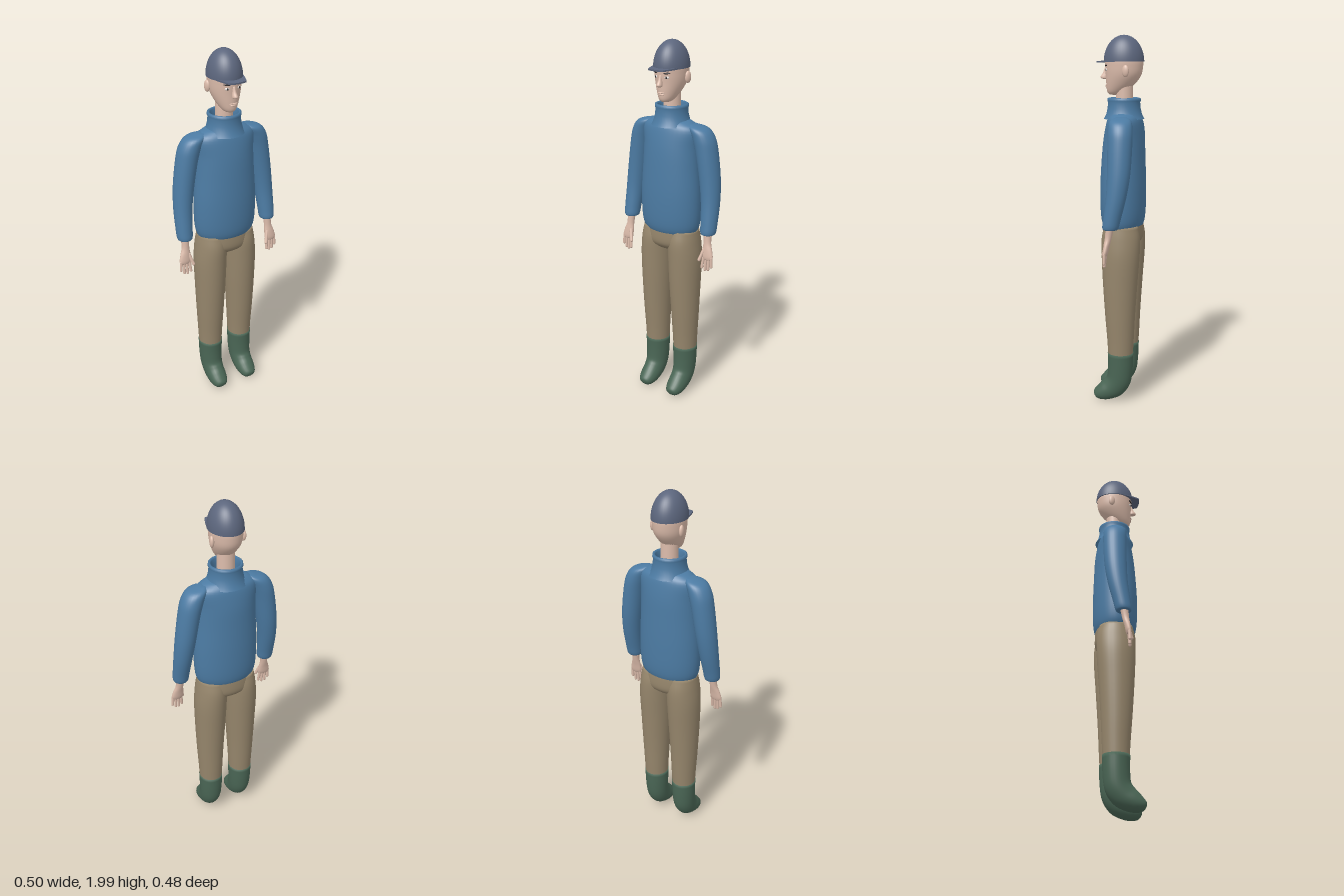
import * as THREE from 'three';

const mat = (name, color, side = THREE.FrontSide) => {
  const m = new THREE.MeshStandardMaterial({ color, side });
  m.name = name;
  return m;
};

// Smooth skin over elliptical rings listed top to bottom: [x, y, z, radiusX, radiusZ, tilt]
function loft(stations, sides = 28, steps = 5) {
  const curve = (k) => new THREE.CatmullRomCurve3(
    stations.map((s) => new THREE.Vector3(s[k], s[k + 1], s[k + 2] || 0)), false, 'catmullrom', 0.5);
  const centres = curve(0), sizes = curve(3);
  const n = (stations.length - 1) * steps;
  const pos = [], idx = [];
  for (let i = 0; i <= n; i++) {
    const c = centres.getPoint(i / n), r = sizes.getPoint(i / n);
    const rx = Math.max(r.x, 0.001), rz = Math.max(r.y, 0.001);
    for (let j = 0; j < sides; j++) {
      const a = (j / sides) * Math.PI * 2, v = rz * Math.sin(a);
      pos.push(c.x + rx * Math.cos(a), c.y + v * Math.sin(r.z), c.z + v * Math.cos(r.z));
    }
  }
  for (let i = 0; i < n; i++) {
    for (let j = 0; j < sides; j++) {
      const a = i * sides + j, b = i * sides + (j + 1) % sides;
      idx.push(a, b, a + sides, b, b + sides, a + sides);
    }
  }
  // end caps
  const top = pos.length / 3, bottom = top + 1, last = n * sides;
  const c0 = centres.getPoint(0), c1 = centres.getPoint(1);
  pos.push(c0.x, c0.y, c0.z, c1.x, c1.y, c1.z);
  for (let j = 0; j < sides; j++) {
    const k = (j + 1) % sides;
    idx.push(top, k, j, bottom, last + j, last + k);
  }
  const g = new THREE.BufferGeometry();
  g.setAttribute('position', new THREE.Float32BufferAttribute(pos, 3));
  g.setIndex(idx);
  g.computeVertexNormals();
  return g;
}

export function createModel() {
  const root = new THREE.Group();
  root.name = 'standingPerson';
  const body = new THREE.Group();
  body.name = 'body';
  body.rotation.y = THREE.MathUtils.degToRad(43.5); // stands turned toward its left
  root.add(body);

  const knit = mat('blueKnit', 0x4c7ba3, THREE.DoubleSide);
  const khaki = mat('khakiCloth', 0x96866c);
  const rubber = mat('greenRubber', 0x4a6655);
  const felt = mat('slateCap', 0x5c667d);
  const skin = mat('skin', 0xdcbcab);
  const dark = mat('darkBrown', 0x2f2a2b);
  const white = mat('eyeWhite', 0xe8e4e0);

  const add = (name, geo, material, x = 0, y = 0, z = 0) => {
    const m = new THREE.Mesh(geo, material);
    m.name = name;
    m.position.set(x, y, z);
    body.add(m);
    return m;
  };
  const ball = (name, material, x, y, z, rx, ry, rz) => {
    const m = add(name, new THREE.SphereGeometry(1, 24, 16), material, x, y, z);
    m.scale.set(rx, ry, rz);
    return m;
  };
  const limb = (name, material, a, b, r) => {
    const p = new THREE.Vector3(...a), q = new THREE.Vector3(...b), d = q.clone().sub(p);
    const m = add(name, new THREE.CapsuleGeometry(r, d.length(), 4, 10), material);
    m.position.copy(p).add(q).multiplyScalar(0.5);
    m.quaternion.setFromUnitVectors(new THREE.Vector3(0, 1, 0), d.normalize());
  };

  // Sweater body
  add('sweaterBody', loft([
    [0, 1.60, -0.015, 0.07, 0.06], [0, 1.585, -0.015, 0.125, 0.075], [0, 1.55, -0.015, 0.17, 0.092],
    [0, 1.46, -0.013, 0.165, 0.108], [0, 1.35, -0.01, 0.168, 0.116], [0, 1.2, -0.008, 0.177, 0.122],
    [0, 1.07, -0.008, 0.176, 0.12], [0, 1.0, -0.008, 0.163, 0.109], [0, 0.972, -0.008, 0.13, 0.085],
    [0, 0.968, -0.008, 0.05, 0.03],
  ], 40), knit);

  // Roll collar, open at the top
  const collar = [[0.108, 1.565], [0.095, 1.59], [0.088, 1.62], [0.085, 1.652], [0.089, 1.66],
    [0.088, 1.672], [0.08, 1.676], [0.073, 1.668], [0.07, 1.64], [0.068, 1.59]];
  add('collar', new THREE.LatheGeometry(collar.map((p) => new THREE.Vector2(...p)), 36), knit, 0, 0, -0.012);

  // Neck and head
  add('neck', new THREE.CylinderGeometry(0.045, 0.047, 0.16, 24), skin, 0, 1.66, -0.014);
  add('head', loft([
    [0, 1.93, -0.012, 0.06, 0.07], [0, 1.88, -0.012, 0.081, 0.099], [0, 1.835, -0.012, 0.082, 0.1],
    [0, 1.79, -0.008, 0.076, 0.093], [0, 1.745, 0.008, 0.06, 0.075], [0, 1.71, 0.028, 0.041, 0.051],
    [0, 1.694, 0.036, 0.025, 0.032], [0, 1.69, 0.038, 0.008, 0.01],
  ], 36), skin);
  add('nose', loft([
    [0, 1.832, 0.08, 0.007, 0.012], [0, 1.805, 0.088, 0.01, 0.014], [0, 1.785, 0.095, 0.014, 0.02],
    [0, 1.776, 0.093, 0.013, 0.017], [0, 1.772, 0.088, 0.005, 0.008],
  ], 16), skin);
  ball('mouth', skin, 0, 1.742, 0.082, 0.024, 0.004, 0.006);
  ball('lowerLip', skin, 0, 1.733, 0.081, 0.018, 0.005, 0.006);

  // Cap dome, flat underside and brim
  const dome = add('capDome', new THREE.SphereGeometry(1, 40, 20, 0, Math.PI * 2, 0, Math.PI / 2), felt, 0, 1.862, -0.011);
  dome.scale.set(0.089, 0.138, 0.107);
  const under = add('capUnderside', new THREE.CircleGeometry(1, 40), felt, 0, 1.862, -0.011);
  under.rotation.x = Math.PI / 2;
  under.scale.set(0.089, 0.107, 1);
  const brim = new THREE.Shape();
  brim.moveTo(-0.082, -0.02);
  brim.quadraticCurveTo(-0.075, -0.06, -0.047, -0.126);
  brim.quadraticCurveTo(0, -0.142, 0.047, -0.126);
  brim.quadraticCurveTo(0.075, -0.06, 0.082, -0.02);
  brim.quadraticCurveTo(0, -0.1, -0.082, -0.02);
  const brimMesh = add('capBrim', new THREE.ExtrudeGeometry(brim, { depth: 0.008, bevelEnabled: false, curveSegments: 16 }), felt, 0, 1.863, 0);
  brimMesh.rotation.x = -Math.PI / 2 + 0.04;

  // Trouser seat
  add('trouserSeat', loft([
    [0, 1.04, -0.01, 0.15, 0.1], [0, 0.98, -0.01, 0.162, 0.107], [0, 0.92, -0.01, 0.158, 0.103],
    [0, 0.885, -0.01, 0.11, 0.07], [0, 0.87, -0.01, 0.03, 0.03],
  ], 36), khaki);

  for (const s of [1, -1]) {
    const side = s > 0 ? 'left' : 'right';

    // Sleeve
    add(side + 'Sleeve', loft([
      [s * 0.13, 1.582, -0.02, 0.02, 0.025], [s * 0.165, 1.562, -0.022, 0.052, 0.056],
      [s * 0.193, 1.515, -0.026, 0.06, 0.064], [s * 0.213, 1.44, -0.028, 0.058, 0.064],
      [s * 0.235, 1.3, -0.026, 0.055, 0.06], [s * 0.248, 1.18, -0.015, 0.05, 0.053],
      [s * 0.254, 1.07, 0.005, 0.045, 0.046], [s * 0.255, 1.025, 0.013, 0.042, 0.043],
      [s * 0.255, 1.012, 0.015, 0.033, 0.034], [s * 0.255, 1.016, 0.015, 0.01, 0.01],
    ]), knit);

    // Hand: wrist and palm, then fingers and thumb
    add(side + 'Palm', loft([
      [s * 0.256, 1.03, 0.016, 0.024, 0.022], [s * 0.259, 0.97, 0.024, 0.021, 0.018],
      [s * 0.264, 0.93, 0.032, 0.029, 0.016], [s * 0.268, 0.895, 0.037, 0.034, 0.014],
      [s * 0.27, 0.877, 0.039, 0.028, 0.01],
    ], 18), skin);
    [0.828, 0.818, 0.822, 0.84].forEach((tip, i) => {
      limb(side + 'Finger' + (i + 1), skin, [s * (0.246 + i * 0.016), 0.89, 0.039],
        [s * (0.241 + i * 0.0185), tip, 0.047 - i * 0.002], 0.0078);
    });
    limb(side + 'Thumb', skin, [s * 0.247, 0.93, 0.038], [s * 0.23, 0.872, 0.058], 0.0088);

    // Trouser leg
    add(side + 'Leg', loft([
      [s * 0.082, 1.0, -0.01, 0.078, 0.09], [s * 0.087, 0.93, -0.01, 0.084, 0.104],
      [s * 0.092, 0.83, -0.01, 0.088, 0.103], [s * 0.094, 0.68, -0.008, 0.084, 0.094],
      [s * 0.096, 0.5, -0.008, 0.076, 0.082], [s * 0.096, 0.36, -0.01, 0.069, 0.073],
      [s * 0.096, 0.27, -0.01, 0.065, 0.068],
    ]), khaki);

    // Boot, toe pointing a little down
    add(side + 'Boot', loft([
      [s * 0.096, 0.288, -0.01, 0.068, 0.071, 0], [s * 0.096, 0.2, -0.009, 0.065, 0.069, 0.05],
      [s * 0.096, 0.13, 0.0, 0.061, 0.068, 0.3], [s * 0.096, 0.085, 0.03, 0.057, 0.066, 0.7],
      [s * 0.096, 0.058, 0.072, 0.054, 0.055, 0.98], [s * 0.096, 0.042, 0.105, 0.046, 0.041, 1.08],
      [s * 0.096, 0.033, 0.128, 0.031, 0.026, 1.08], [s * 0.096, 0.03, 0.136, 0.008, 0.007, 1.08],
    ]), rubber);

    // Ear, eye and eyebrow
    ball(side + 'Ear', skin, s * 0.085, 1.815, -0.034, 0.012, 0.031, 0.019).rotation.y = s * -0.25;
    ball(side + 'EyeWhite', white, s * 0.033, 1.822, 0.077, 0.013, 0.007, 0.006).rotation.y = s * 0.35;
    ball(side + 'Pupil', dark, s * 0.033, 1.822, 0.082, 0.005, 0.006, 0.003);
    const brow = ball(side + 'Eyebrow', dark, s * 0.035, 1.843, 0.079, 0.019, 0.004, 0.005);
    brow.rotation.set(0, s * 0.38, s * 0.08);
  }
  return root;
}
